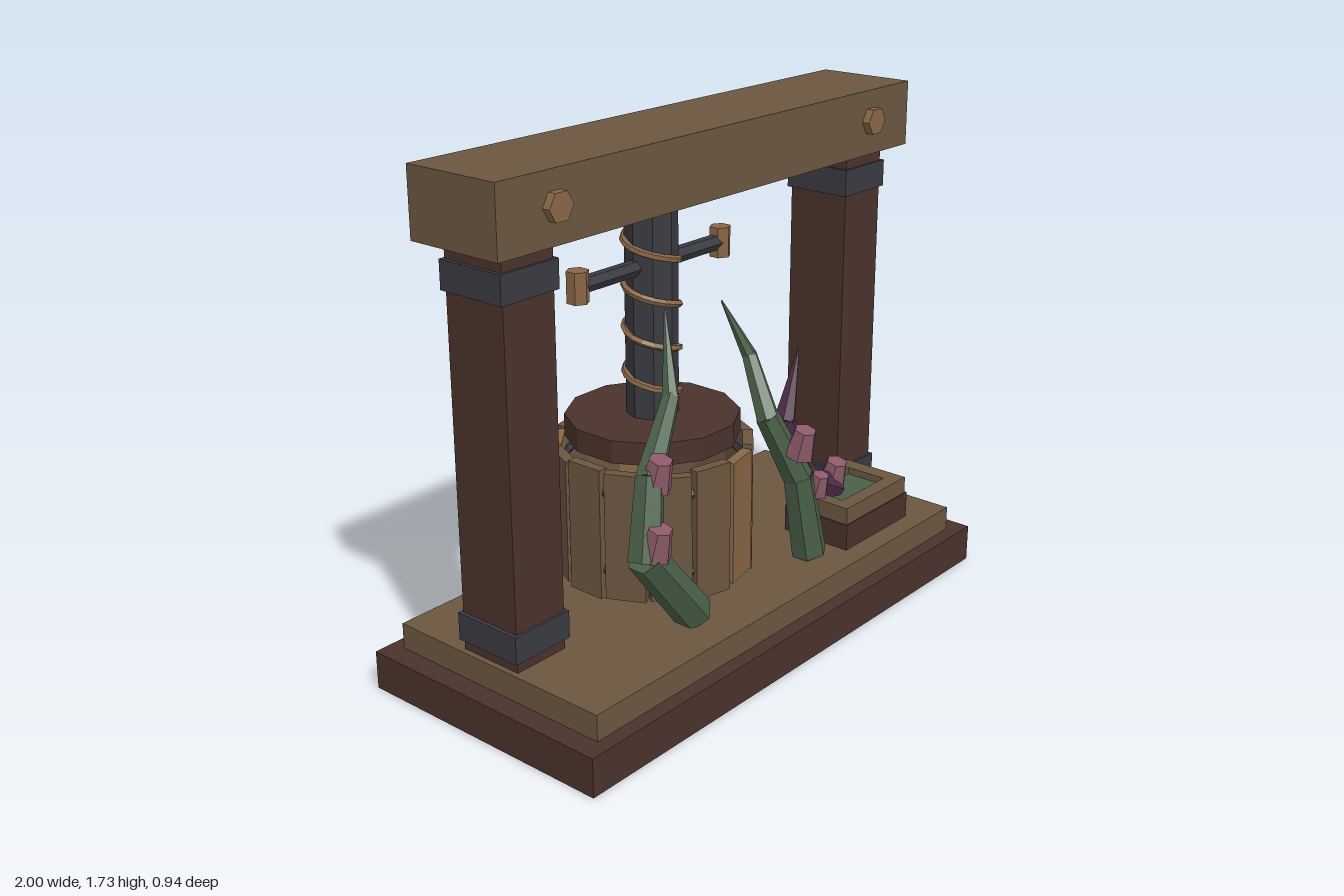
import * as THREE from 'three';

const mat = (name, color) => {
  const m = new THREE.MeshStandardMaterial({ color, flatShading: true });
  m.name = name;
  return m;
};

export function createModel() {
  const root = new THREE.Group();
  root.name = 'screwPress';
  const darkWood = mat('darkWood', 0x4a332b);
  const wood = mat('wood', 0x6b5640);
  const paleWood = mat('paleWood', 0x886645);
  const iron = mat('iron', 0x3a3a42);
  const green = mat('green', 0x4a6048);
  const pink = mat('pink', 0x8c5a6a);
  const purple = mat('purple', 0x4a2a45);

  const add = (name, geo, m, x = 0, y = 0, z = 0, parent = root) => {
    const mesh = new THREE.Mesh(geo, m);
    mesh.name = name;
    mesh.position.set(x, y, z);
    parent.add(mesh);
    return mesh;
  };
  // box given by its minimum and maximum on each axis
  const box = (name, m, x0, x1, y0, y1, z0, z1) =>
    add(name, new THREE.BoxGeometry(x1 - x0, y1 - y0, z1 - z0), m,
      (x0 + x1) / 2, (y0 + y1) / 2, (z0 + z1) / 2);

  // stepped base and top beam
  box('basePlinth', darkWood, -1, 1, 0, 0.13, -0.47, 0.47);
  box('baseStep', wood, -0.927, 0.927, 0.13, 0.217, -0.42, 0.42);
  box('topBeam', wood, -0.975, 0.975, 1.51, 1.73, -0.21, 0.14);

  // posts with iron straps and beam bolts
  for (const s of [-1, 1]) {
    add('post', new THREE.BoxGeometry(0.2, 1.3, 0.23), darkWood, s * 0.808, 0.865, -0.035);
    for (const y of [0.298, 1.41])
      add('postStrap', new THREE.BoxGeometry(0.226, 0.092, 0.248), iron, s * 0.808, y, -0.035);
    const bolt = add('beamBolt', new THREE.CylinderGeometry(0.048, 0.048, 0.04, 6), paleWood,
      s * 0.755, 1.626, 0.147);
    bolt.rotation.set(Math.PI / 2, Math.PI / 6, 0, 'XYZ');
  }

  // screw, thread, handle and press plate share one axis
  const press = new THREE.Group();
  press.name = 'press';
  press.position.set(-0.15, 0, -0.05);
  root.add(press);
  add('screwShaft', new THREE.CylinderGeometry(0.085, 0.085, 0.74, 8), iron, 0, 1.16, 0, press);
  const helix = [];
  for (let i = 0; i <= 32; i++) {
    const a = -1.5 * Math.PI + i * Math.PI / 4;
    helix.push(new THREE.Vector3(0.088 * Math.sin(a), 1.43 - i * 0.145 / 8, 0.088 * Math.cos(a)));
  }
  add('screwThread', new THREE.TubeGeometry(new THREE.CatmullRomCurve3(helix), 64, 0.012, 5),
    paleWood, 0, 0, 0, press);
  add('handleBar', new THREE.CylinderGeometry(0.027, 0.027, 0.66, 6), iron, 0.004, 1.293, 0, press)
    .rotation.z = Math.PI / 2;
  for (const s of [-1, 1])
    add('handleKnob', new THREE.CylinderGeometry(0.036, 0.036, 0.1, 6), paleWood,
      0.004 + s * 0.334, 1.293, 0, press);
  add('pressPlate', new THREE.CylinderGeometry(0.285, 0.285, 0.075, 12), darkWood, 0, 0.76, 0, press)
    .rotation.y = Math.PI / 12;

  // slatted basket
  const count = 14;
  for (let i = 0; i < count; i++) {
    const a = (i + 0.5) * 2 * Math.PI / count;
    const h = 0.43 + 0.012 * ((i * 5) % 3 - 1);
    const stave = add('basketStave', new THREE.BoxGeometry(0.132, h, 0.035),
      [0, 5, 8].includes(i) ? paleWood : wood,
      0.308 * Math.sin(a), 0.49, 0.308 * Math.cos(a), press);
    stave.rotation.y = a;
  }
  for (const y of [0.365, 0.63])
    add('basketHoop', new THREE.TorusGeometry(0.302, 0.02, 6, 28), iron, 0, y, 0, press)
      .rotation.x = Math.PI / 2;

  // small trough with an open rim and green filling
  box('troughBody', darkWood, 0.4, 0.768, 0.21, 0.31, 0.08, 0.345);
  const rim = new THREE.Shape();
  rim.moveTo(0.405, -0.34).lineTo(0.76, -0.34).lineTo(0.76, -0.085).lineTo(0.405, -0.085).closePath();
  const hole = new THREE.Path();
  hole.moveTo(0.455, -0.287).lineTo(0.455, -0.135).lineTo(0.702, -0.135).lineTo(0.702, -0.287).closePath();
  rim.holes.push(hole);
  add('troughRim', new THREE.ExtrudeGeometry(rim, { depth: 0.06, bevelEnabled: false }), wood, 0, 0.31, 0)
    .rotation.x = -Math.PI / 2;
  box('troughFilling', green, 0.455, 0.702, 0.31, 0.345, 0.135, 0.287);

  // tentacle: tapered segments joined end to end, plus flared suckers
  const up = new THREE.Vector3(0, 1, 0);
  const tentacle = (name, m, points, suckers) => {
    const g = new THREE.Group();
    g.name = name;
    root.add(g);
    for (let i = 0; i < points.length - 1; i++) {
      const [a, b] = [points[i], points[i + 1]].map(p => new THREE.Vector3(p[0], p[1], p[2]));
      const dir = b.clone().sub(a);
      const mid = a.clone().add(b).multiplyScalar(0.5);
      const seg = add('segment', new THREE.CylinderGeometry(points[i + 1][3], points[i][3],
        dir.length() + (i < points.length - 2 ? 0.02 : 0), 6), m, mid.x, mid.y, mid.z, g);
      seg.quaternion.setFromUnitVectors(up, dir.normalize());
    }
    for (const [x, y, z, r] of suckers)
      add('sucker', new THREE.CylinderGeometry(r * 0.72, r, r * 1.9, 6), pink, x, y, z, g)
        .rotation.x = 0.25;
  };
  // each point is x, y, z, radius
  tentacle('rightTentacle', green,
    [[-0.32, 0.25, 0.26, 0.066], [-0.545, 0.52, 0.27, 0.058], [-0.48, 0.75, 0.23, 0.046],
      [-0.29, 0.93, 0.15, 0.028], [-0.19, 1.17, 0.04, 0.003]],
    [[-0.465, 0.765, 0.25, 0.053], [-0.525, 0.575, 0.3, 0.053]]);
  tentacle('middleTentacle', green,
    [[0.29, 0.24, 0.265, 0.062], [0.235, 0.52, 0.255, 0.052], [0.135, 0.75, 0.2, 0.04],
      [0.175, 0.93, 0.09, 0.026], [0.1, 1.125, 0.03, 0.003]],
    [[0.205, 0.665, 0.29, 0.052], [0.31, 0.48, 0.285, 0.04]]);
  tentacle('troughTentacle', purple,
    [[0.54, 0.36, 0.18, 0.05], [0.41, 0.43, 0.15, 0.052], [0.33, 0.655, 0.12, 0.04],
      [0.47, 0.87, 0.07, 0.003]],
    [[0.548, 0.412, 0.18, 0.052]]);

  return root;
}
